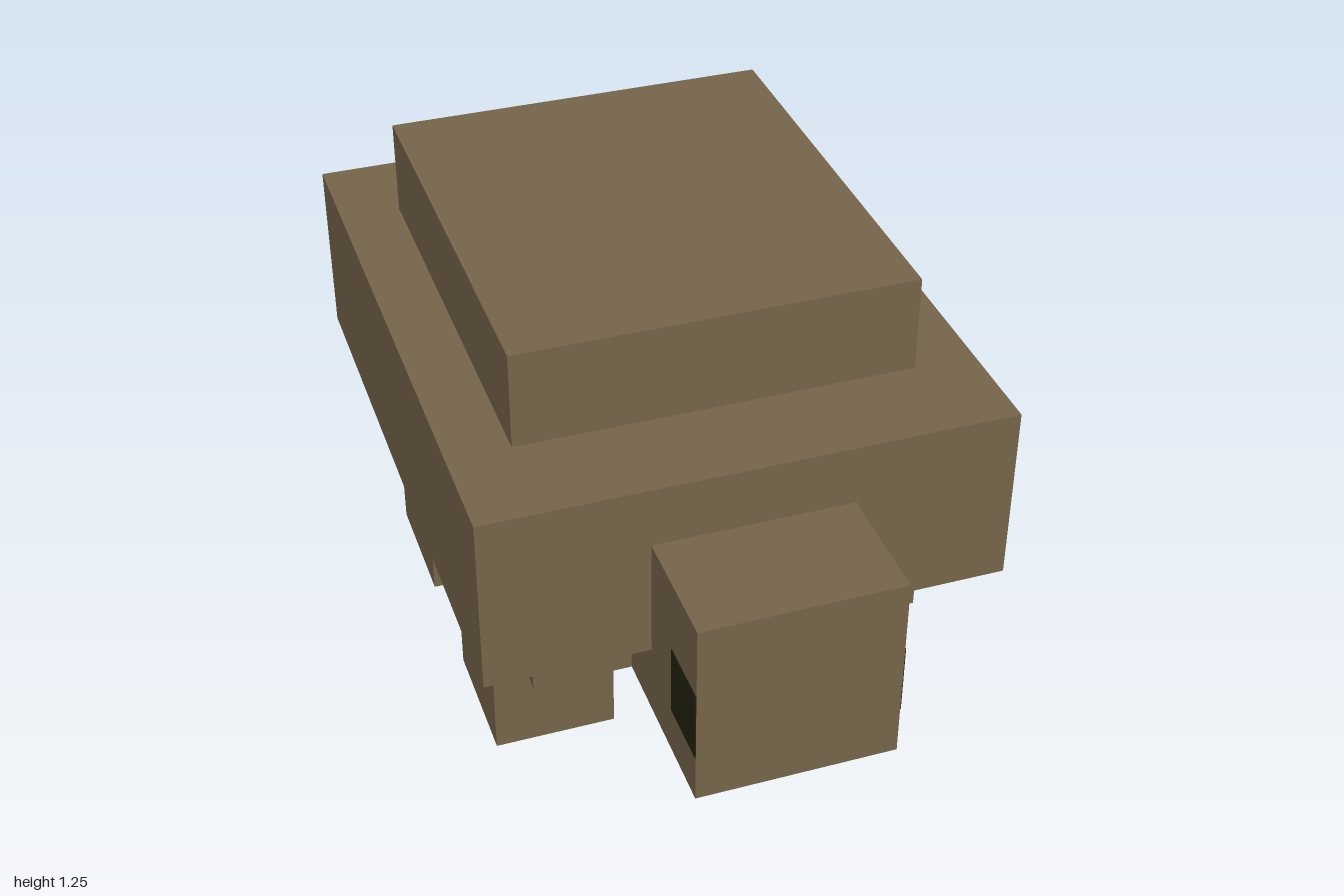
import * as THREE from 'three';

export function createModel() {
  const model = new THREE.Group();
  model.name = 'blockTortoise';

  const brown = new THREE.MeshStandardMaterial({ color: 0x77654b });
  brown.name = 'brown';
  const dark = new THREE.MeshStandardMaterial({ color: 0x24220e });
  dark.name = 'darkEye';

  // Box given by its lower and upper corners
  const block = (name, [x0, y0, z0], [x1, y1, z1], material = brown) => {
    const mesh = new THREE.Mesh(new THREE.BoxGeometry(x1 - x0, y1 - y0, z1 - z0), material);
    mesh.position.set((x0 + x1) / 2, (y0 + y1) / 2, (z0 + z1) / 2);
    mesh.name = name;
    model.add(mesh);
    return mesh;
  };

  // Shell in two tiers, belly and head
  block('shellTop', [-0.51, 0.995, -0.73], [0.51, 1.25, 0.42]);
  block('shell', [-0.67, 0.515, -0.985], [0.67, 0.995, 0.68]);
  block('belly', [-0.51, 0.323, -0.825], [0.51, 0.56, 0.52]);
  block('head', [-0.255, 0.323, 0.49], [0.255, 0.835, 1]);

  // Legs and eyes, mirrored left and right
  for (const [side, s] of [['left', 1], ['right', -1]]) {
    const legX = s * 0.415;
    block(side + 'FrontLeg', [legX - 0.16, 0, 0.01], [legX + 0.16, 0.53, 0.36]);
    block(side + 'BackLeg', [legX - 0.16, 0, -0.665], [legX + 0.16, 0.53, -0.315]);
    const eyeX = s * 0.255;
    block(side + 'Eye', [eyeX - 0.002, 0.453, 0.828], [eyeX + 0.002, 0.643, 0.9995], dark);
  }

  // Short tail, tipped downwards, barely showing behind the shell
  const tail = block('tail', [-0.095, 0.684, -1], [0.095, 0.716, -0.8]);
  tail.rotation.x = -0.33;

  return model;
}
